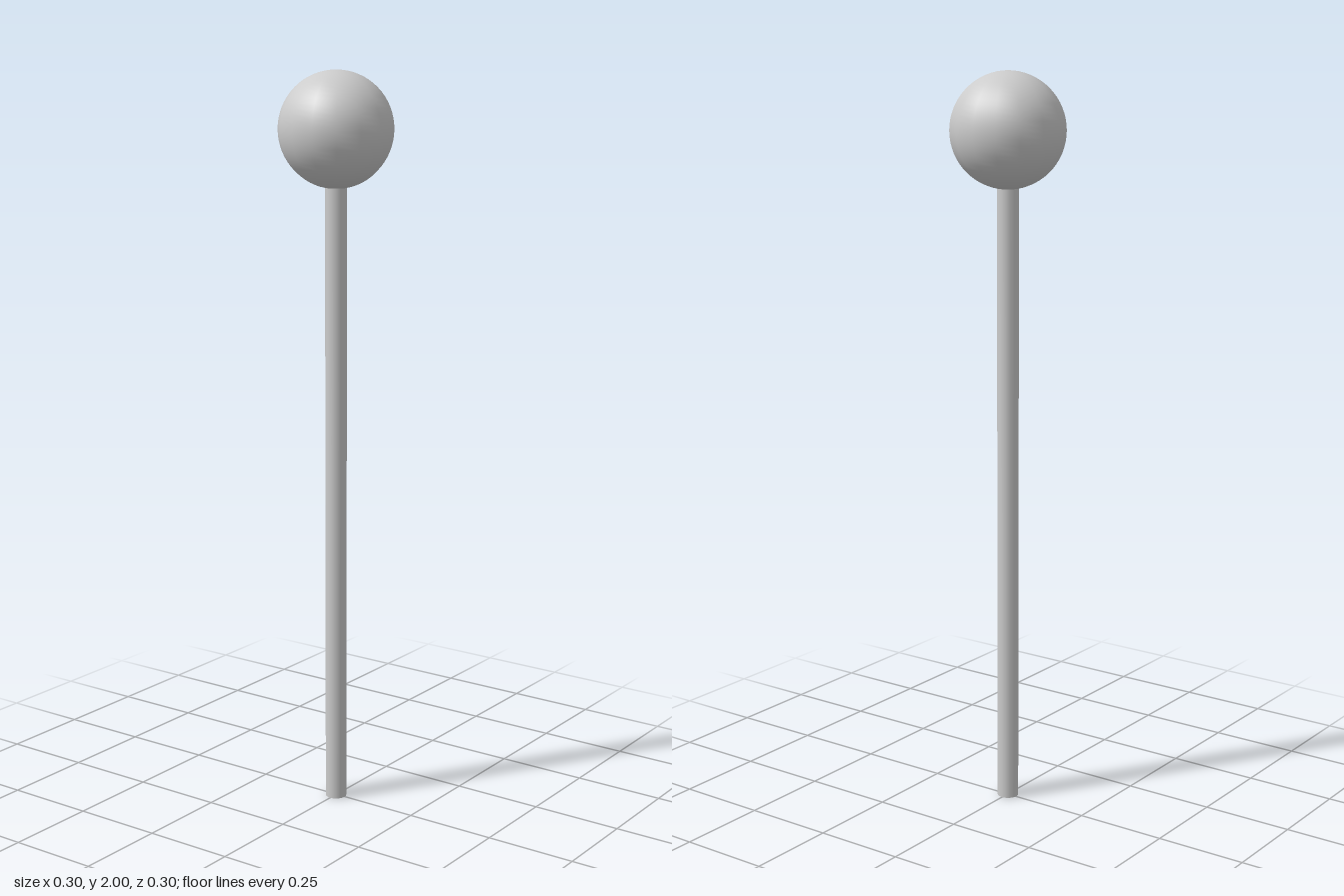
import * as THREE from 'three';

const SIDES = 15;

export function createModel() {
  const model = new THREE.Group();
  const material = new THREE.MeshStandardMaterial({ color: 0xcccccc });
  const stemHeight = 1.72;
  const ballRadius = 0.153;

  // Thin round stem, its top sunk into the ball
  const stem = new THREE.Mesh(
    new THREE.CylinderGeometry(0.029, 0.029, stemHeight, SIDES).rotateY(Math.PI / 2),
    material
  );
  stem.name = 'stem';
  stem.position.y = stemHeight / 2;

  // Ball on top, with a corner of its outline towards +x
  const ball = new THREE.Mesh(
    new THREE.SphereGeometry(ballRadius, SIDES, 32).rotateY(Math.PI),
    material
  );
  ball.name = 'ball';
  ball.position.y = 2 - ballRadius;

  // An odd number of sides reaches less far to -x, so shift to centre
  stem.position.x = ball.position.x = -ballRadius * (1 - Math.cos(Math.PI / SIDES)) / 2;

  model.add(stem, ball);
  return model;
}
